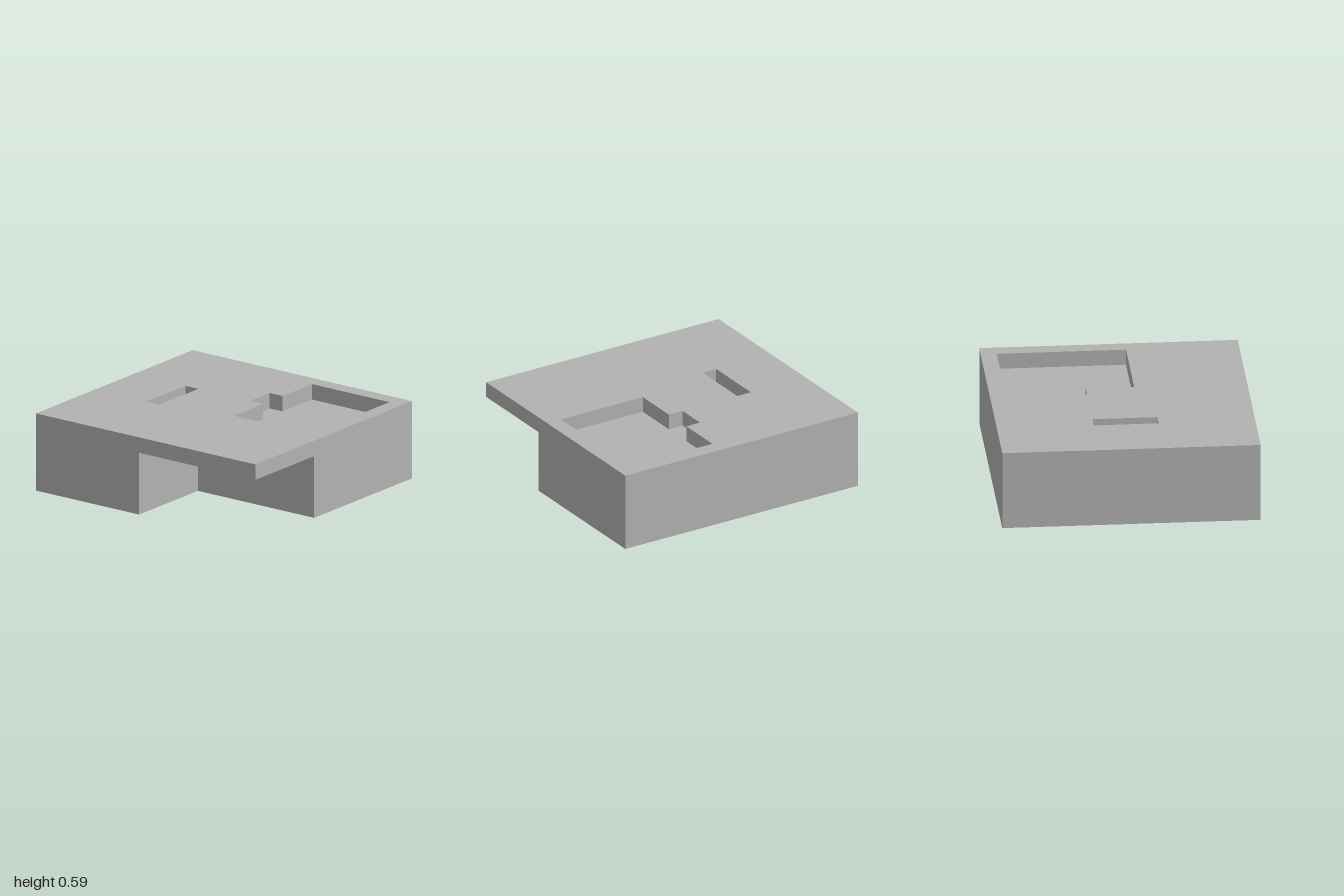
import * as THREE from 'three';

const U = 2 / 17; // grid unit

export function createModel() {
  const model = new THREE.Group();
  const grey = new THREE.MeshStandardMaterial({ color: 0xb2b2b2 });
  grey.name = 'grey';

  // Outlines are [x, z] in grid units, counter-clockwise seen from above
  const rect = (x0, x1, z0, z1) => [[x0, z1], [x1, z1], [x1, z0], [x0, z0]];
  const toPoints = (outline) => outline.map(([x, z]) => new THREE.Vector2(x * U, -z * U));

  function add(name, geometry) {
    const mesh = new THREE.Mesh(geometry, grey);
    mesh.name = name;
    model.add(mesh);
  }

  // Horizontal face, facing up or down
  function cap(name, outline, y, { holes = [], down = false } = {}) {
    const shape = new THREE.Shape(toPoints(outline));
    holes.forEach((h) => shape.holes.push(new THREE.Path(toPoints(h))));
    const geometry = new THREE.ShapeGeometry(shape);
    geometry.rotateX(-Math.PI / 2).translate(0, y * U, 0);
    if (down) {
      geometry.index.array.reverse();
      const n = geometry.attributes.normal;
      for (let i = 0; i < n.count; i++) n.setXYZ(i, 0, -1, 0);
    }
    add(name, geometry);
  }

  // Vertical faces along an outline, facing outward or into a recess
  function walls(name, outline, y0, y1, inward = false) {
    const path = inward ? [...outline].reverse() : outline;
    const positions = [];
    path.forEach(([ax, az], i) => {
      const [bx, bz] = path[(i + 1) % path.length];
      positions.push(ax, y0, az, bx, y0, bz, bx, y1, bz);
      positions.push(ax, y0, az, bx, y1, bz, ax, y1, az);
    });
    const geometry = new THREE.BufferGeometry();
    geometry.setAttribute('position', new THREE.Float32BufferAttribute(positions, 3));
    geometry.scale(U, U, U);
    geometry.computeVertexNormals();
    add(name, geometry);
  }

  const slab = rect(-8, 8, -8.5, 8.5);
  const base = [[-2, 8.5], [8, 8.5], [8, -8.5], [-8, -8.5], [-8, -0.5], [-2, -0.5]];
  const pocket = [[-1, 7.5], [7, 7.5], [7, 1.5], [4, 1.5], [4, 0.5], [2, 0.5], [2, 1.5], [-1, 1.5]];
  const slot = rect(-2, 2, -4.5, -3.5);

  // L-shaped base
  walls('baseWalls', base, 0, 4);
  cap('baseUnderside', base, 0, { down: true });

  // Slab overhanging the missing corner
  walls('slabEdge', slab, 4, 5);
  cap('slabTop', slab, 5, { holes: [pocket, slot] });
  cap('overhangUnderside', rect(-8, -2, -0.5, 8.5), 4, { down: true });

  // Shallow pocket with a side tab
  walls('pocketWalls', pocket, 4, 5, true);
  cap('pocketFloor', pocket, 4);

  // Slot with steps going down: each level ends one step sooner
  [2, 1, 0].forEach((end, i, ends) => {
    const y = 4 - i;
    walls('slotWalls', rect(-2, end, -4.5, -3.5), y, y + 1, true);
    cap('slotStep', rect(ends[i + 1] ?? -2, end, -4.5, -3.5), y);
  });

  return model;
}
